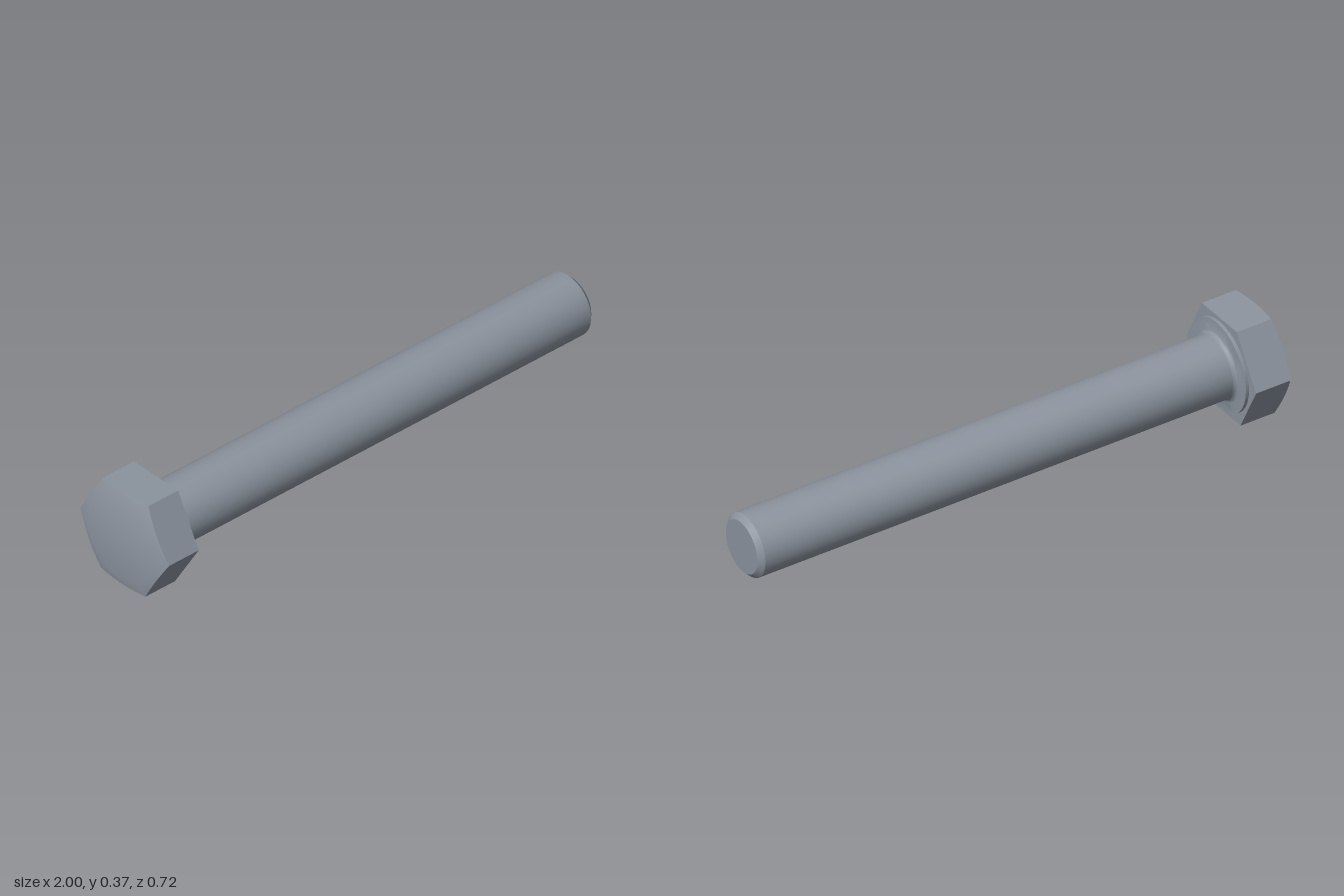
import * as THREE from 'three';
import { toCreasedNormals } from 'three/addons/utils/BufferGeometryUtils.js';

const CREASE = 0.6;
const APOTHEM = 0.1815;        // half the width across the hexagon's flats
const LENGTH = 1.84;           // underside of the head to the tip
const SHANK_R = 0.1135;
const WASHER_R = 0.167, WASHER_H = 0.012;

// Hexagonal head below y = 0, its crown cut by a shallow cone so the flats end in arcs
function headGeometry() {
  const steps = 48, discR = 0.155, topH = 0.148, slope = 0.312;
  const hexRadius = (t) => {
    const s = Math.PI / 3;
    const k = ((t % s) + s) % s;
    return APOTHEM / Math.cos(k - s / 2);
  };
  const rings = [
    () => [0, -topH],
    () => [discR, -topH],
    (t) => [hexRadius(t), -topH + slope * (hexRadius(t) - discR)],
    (t) => [hexRadius(t), 0],
    () => [0, 0],
  ];
  const pos = [], index = [];
  rings.forEach((ring, i) => {
    for (let j = 0; j < steps; j++) {
      const t = (j / steps) * Math.PI * 2;
      const [r, y] = ring(t);
      pos.push(r * Math.cos(t), y, r * Math.sin(t));
      if (i === rings.length - 1) continue;
      const n = (j + 1) % steps;
      const a = i * steps + j, b = i * steps + n;
      const c = a + steps, d = b + steps;
      if (i > 0) index.push(a, c, b);
      if (i < rings.length - 2) index.push(b, c, d);
    }
  });
  const geo = new THREE.BufferGeometry();
  geo.setAttribute('position', new THREE.Float32BufferAttribute(pos, 3));
  geo.setIndex(index);
  return toCreasedNormals(geo, CREASE);
}

function turned(points) {
  const geo = new THREE.LatheGeometry(points.map(([r, y]) => new THREE.Vector2(r, y)), 32);
  return toCreasedNormals(geo, CREASE);
}

export function createModel() {
  const steel = new THREE.MeshStandardMaterial({ color: 0x8c949f });
  steel.name = 'steel grey';

  const bolt = new THREE.Group();
  bolt.name = 'bolt';
  const add = (name, geo) => {
    const mesh = new THREE.Mesh(geo, steel);
    mesh.name = name;
    bolt.add(mesh);
  };

  add('hexHead', headGeometry());

  // Raised bearing ring under the head, with a fillet into the shank
  const fillet = 0.015;
  const collar = [[WASHER_R, 0], [WASHER_R, WASHER_H]];
  for (let i = 0; i <= 5; i++) {
    const a = (i / 5) * Math.PI / 2;
    collar.push([
      SHANK_R + fillet * (1 - Math.sin(a)),
      WASHER_H + fillet * (1 - Math.cos(a)),
    ]);
  }
  add('bearingCollar', turned(collar));

  // Plain shank with a chamfered tip
  add('shank', turned([
    [SHANK_R, WASHER_H + fillet],
    [SHANK_R, LENGTH - 0.0185],
    [0.095, LENGTH],
    [0, LENGTH],
  ]));

  // Lay the bolt down: the head and the tip both rest on the ground
  const axis = new THREE.Vector3(1, -0.0388, 0.213).normalize();
  const side = new THREE.Vector3().crossVectors(axis, new THREE.Vector3(0, 1, 0)).normalize();
  const up = new THREE.Vector3().crossVectors(side, axis);
  bolt.quaternion.setFromRotationMatrix(new THREE.Matrix4().makeBasis(side, axis, up));
  bolt.position.set(0.977, 0.1165, 0.2555).addScaledVector(axis, -LENGTH);

  const model = new THREE.Group();
  model.name = 'model';
  model.add(bolt);
  return model;
}
